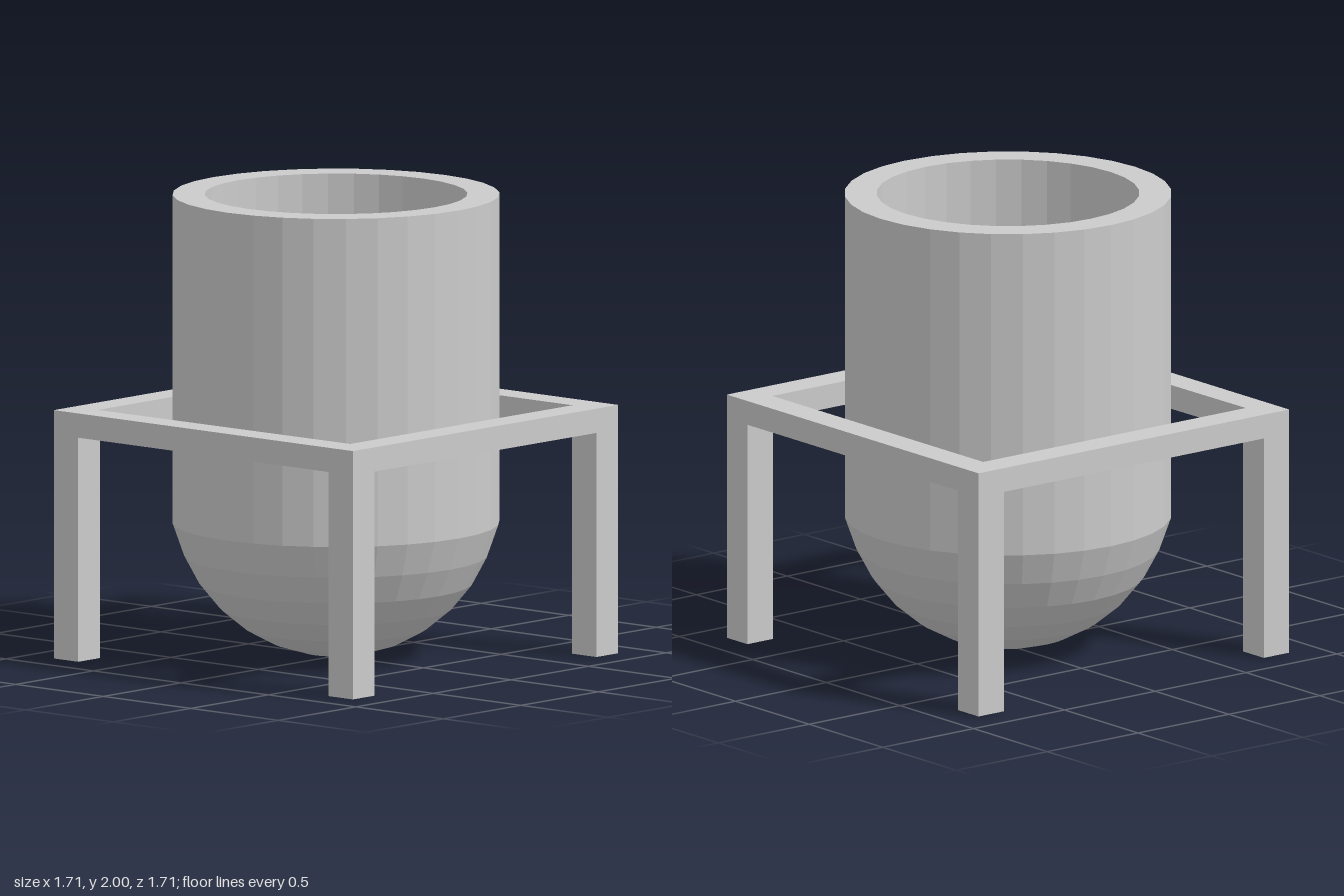
import * as THREE from 'three';

const material = new THREE.MeshStandardMaterial({ color: 0xcccccc, flatShading: true });

function addMesh(parent, name, geometry) {
  const mesh = new THREE.Mesh(geometry, material);
  mesh.name = name;
  parent.add(mesh);
  return mesh;
}

export function createModel() {
  const model = new THREE.Group();
  model.name = 'vesselOnStand';

  // Round-bottomed vessel: outer dome, straight wall, flat rim, bore and floor
  const radius = 0.7, bore = 0.5625, steps = 8;
  const profile = [];
  for (let i = 0; i < steps; i++) {
    const a = (i / steps) * Math.PI / 2;
    profile.push(new THREE.Vector2(0.704 * Math.sin(a), 0.709 - 0.704 * Math.cos(a)));
  }
  profile[steps - 1].set(radius, 0.58);
  profile.push(
    new THREE.Vector2(radius, 2),
    new THREE.Vector2(bore, 2),
    new THREE.Vector2(bore, 0.72),
    new THREE.Vector2(0, 0.72)
  );
  addMesh(model, 'vessel', new THREE.LatheGeometry(profile, 32));

  // Square stand
  const stand = new THREE.Group();
  stand.name = 'stand';
  model.add(stand);
  const outer = 0.855, top = 1.075, beam = 0.105, leg = 0.14;

  // Top frame, its front beam slightly tapered on the inside
  const square = new THREE.Shape([
    new THREE.Vector2(-outer, -outer), new THREE.Vector2(outer, -outer),
    new THREE.Vector2(outer, outer), new THREE.Vector2(-outer, outer)
  ]);
  square.holes.push(new THREE.Path([
    new THREE.Vector2(-0.718, -0.718), new THREE.Vector2(-0.718, 0.727),
    new THREE.Vector2(0.715, 0.714), new THREE.Vector2(0.715, -0.718)
  ]));
  const frame = new THREE.ExtrudeGeometry(square, { depth: beam, bevelEnabled: false });
  frame.rotateX(Math.PI / 2).translate(0, top, 0);
  addMesh(stand, 'topFrame', frame);

  // Four corner legs
  const legHeight = top - beam;
  for (const sx of [-1, 1]) {
    for (const sz of [-1, 1]) {
      const name = (sz > 0 ? 'front' : 'back') + (sx > 0 ? 'Left' : 'Right') + 'Leg';
      addMesh(stand, name, new THREE.BoxGeometry(leg, legHeight, leg))
        .position.set(sx * (outer - leg / 2), legHeight / 2, sz * (outer - leg / 2));
    }
  }
  return model;
}
